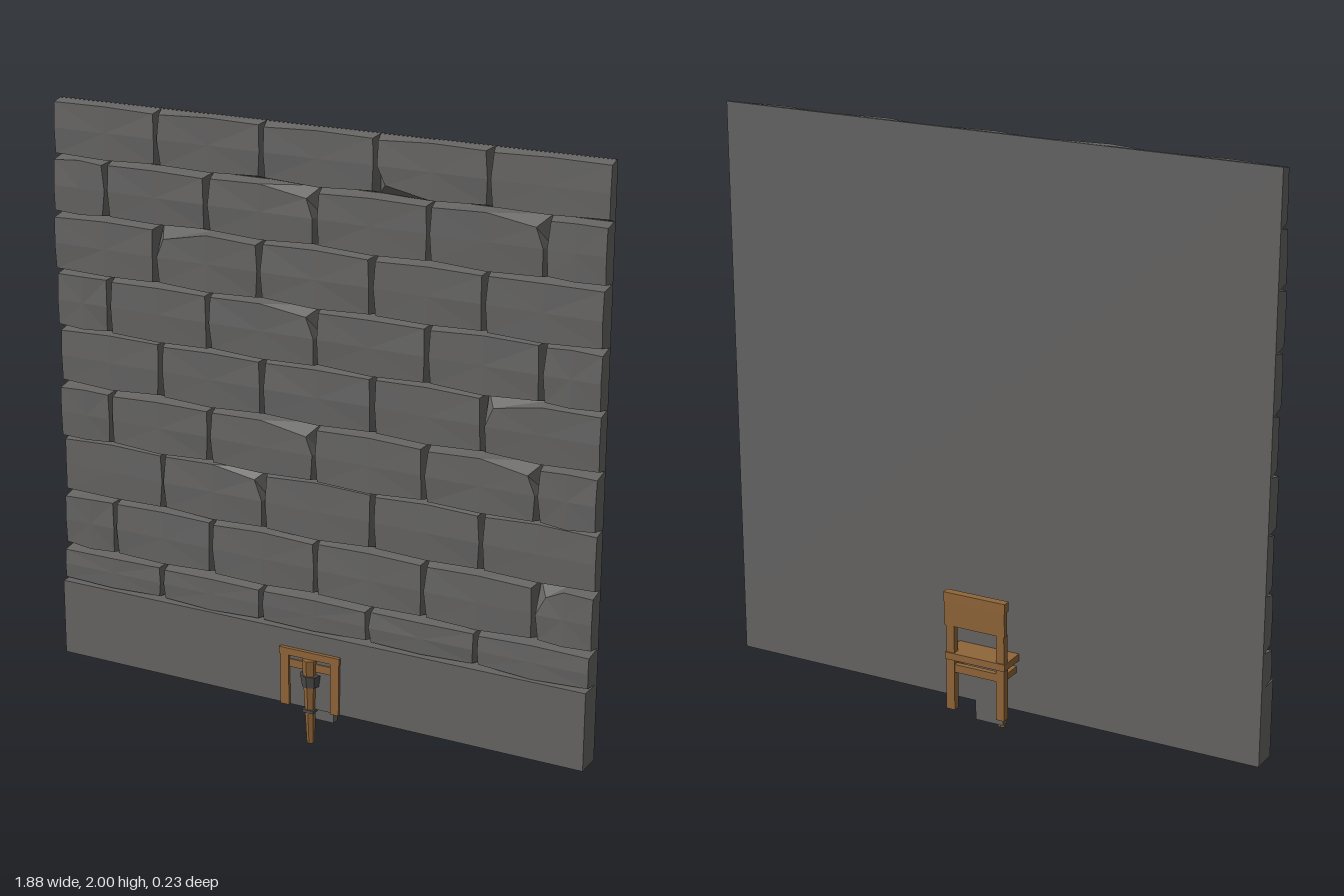
import * as THREE from 'three';

export function createModel() {
  const model = new THREE.Group();
  model.name = 'brickWall';
  const mat = (name, color) => {
    const m = new THREE.MeshStandardMaterial({ color });
    m.name = name;
    m.flatShading = true;
    return m;
  };
  const stone = mat('stone', 0x656463);
  const wood = mat('wood', 0x8f6538);
  const iron = mat('iron', 0x4c4b4b);

  let seed = 7;
  const rand = () => {
    seed = (seed * 16807) % 2147483647;
    return seed / 2147483647;
  };
  const jit = (a) => (rand() * 2 - 1) * a;

  const add = (parent, name, geometry, material) => {
    const mesh = new THREE.Mesh(geometry, material);
    mesh.name = name;
    parent.add(mesh);
    return mesh;
  };
  // Box given by its minimum and maximum on each axis
  const box = (parent, name, x0, x1, y0, y1, z0, z1, material) => {
    const m = add(parent, name, new THREE.BoxGeometry(x1 - x0, y1 - y0, z1 - z0), material);
    m.position.set((x0 + x1) / 2, (y0 + y1) / 2, (z0 + z1) / 2);
    return m;
  };

  // Wall core and plinth
  const W = 0.94;
  box(model, 'wallCore', -W, W, 0.3, 2, -0.008, 0.002, stone);
  box(model, 'plinth', -W, W, 0.12, 0.38, -0.008, 0.082, stone);

  // One hewn brick: full cell at the back, smaller uneven outline in front
  const ring = [[-1, -1], [0, -1], [1, -1], [1, 0], [1, 1], [0, 1], [-1, 1], [-1, 0]];
  function brickGeometry(x0, x1, y0, y1, depth, chip) {
    const cx = (x0 + x1) / 2, cy = (y0 + y1) / 2, w = (x1 - x0) / 2, h = (y1 - y0) / 2;
    const back = ring.map(([u, v]) => [cx + u * w, cy + v * h, 0]);
    const front = ring.map(([u, v], i) => {
      const corner = u !== 0 && v !== 0;
      const atEnd = u !== 0 && Math.abs(cx + u * w) > W - 0.001;
      const cut = i === chip && !atEnd ? 0.022 : 0;
      const dx = atEnd ? 0 : (corner ? 0.011 : 0.006) + jit(0.003) + cut;
      const dy = (corner ? 0.011 : 0.005) + jit(0.003) + cut;
      return [cx + u * (w - dx), cy + v * (h - dy), depth - (corner ? 0.004 : 0) + jit(0.002)];
    });
    const pos = [];
    const tri = (a, b, c) => pos.push(...a, ...b, ...c);
    const centre = [cx, cy, depth + 0.001];
    for (let i = 0; i < 8; i++) {
      const j = (i + 1) % 8;
      tri(back[i], back[j], front[j]);
      tri(back[i], front[j], front[i]);
      tri(front[i], front[j], centre);
    }
    const g = new THREE.BufferGeometry();
    g.setAttribute('position', new THREE.Float32BufferAttribute(pos, 3));
    g.computeVertexNormals();
    return g;
  }

  // Courses of bricks in running bond, top to bottom
  const bricks = new THREE.Group();
  bricks.name = 'bricks';
  model.add(bricks);
  const levels = [2, 1.82, 1.635, 1.445, 1.255, 1.065, 0.88, 0.685, 0.497, 0.378];
  const depths = [0.04, 0.054, 0.06, 0.055, 0.047, 0.06, 0.044, 0.055, 0.068];
  const joints = [
    [-W, -0.565, -0.192, 0.195, 0.565, W],
    [-W, -0.748, -0.38, 0, 0.378, 0.752, W],
  ];
  // Chipped corners: row, brick, corner of the outline
  const chips = { '0,3': 0, '1,2': 4, '1,4': 4, '2,1': 6, '3,2': 4, '4,4': 6, '5,2': 4, '5,4': 4, '6,1': 4, '7,5': 6 };
  depths.forEach((d, r) => {
    const xs = joints[r % 2];
    for (let i = 0; i < xs.length - 1; i++) {
      const chip = chips[`${r},${i}`] ?? -1;
      add(bricks, 'brick', brickGeometry(xs[i], xs[i + 1], levels[r + 1], levels[r], d, chip), stone);
    }
  });

  // Chair pushed through the foot of the wall
  const chair = new THREE.Group();
  chair.name = 'chair';
  model.add(chair);
  box(chair, 'seat', -0.108, 0.108, 0.296, 0.32, -0.106, 0.095, wood);
  box(chair, 'frontApron', -0.08, 0.08, 0.253, 0.28, 0.07, 0.086, wood);
  box(chair, 'backApron', -0.08, 0.08, 0.253, 0.28, -0.1, -0.082, wood);
  for (const s of [-1, 1]) {
    const a = s * 0.09;
    box(chair, 'frontLeg', a - 0.015, a + 0.015, 0.12, 0.3, 0.066, 0.092, wood);
    box(chair, 'backLeg', a - 0.015, a + 0.015, 0.12, 0.3, -0.102, -0.076, wood);
    box(chair, 'sideApron', a - 0.01, a + 0.01, 0.253, 0.275, -0.1, 0.085, wood);
    const post = box(chair, 'backPost', a - 0.014, a + 0.014, 0.3, 0.52, -0.104, -0.08, wood);
    post.rotation.x = -0.03;
  }
  const rest = box(chair, 'backRest', -0.108, 0.108, 0.415, 0.505, -0.108, -0.09, wood);
  rest.rotation.x = -0.03;
  box(chair, 'topRail', -0.11, 0.11, 0.497, 0.53, -0.11, -0.083, wood);

  // Torch with its iron holder
  const torch = new THREE.Group();
  torch.name = 'torch';
  model.add(torch);
  box(torch, 'wallPlate', -0.05, 0.05, 0.052, 0.28, -0.0075, 0.02, stone);
  box(torch, 'holderArm', -0.012, 0.012, 0.205, 0.23, 0.02, 0.09, iron);
  const stick = add(torch, 'torchStick', new THREE.CylinderGeometry(0.024, 0.013, 0.295, 6), wood);
  stick.position.set(0, 0.148, 0.086);
  stick.rotation.x = 0.03;
  const band = add(torch, 'torchBand', new THREE.CylinderGeometry(0.036, 0.03, 0.04, 8), iron);
  band.position.set(0, 0.222, 0.08);
  box(torch, 'lowerClip', -0.02, 0.02, 0.112, 0.122, 0.068, 0.104, iron);

  return model;
}
